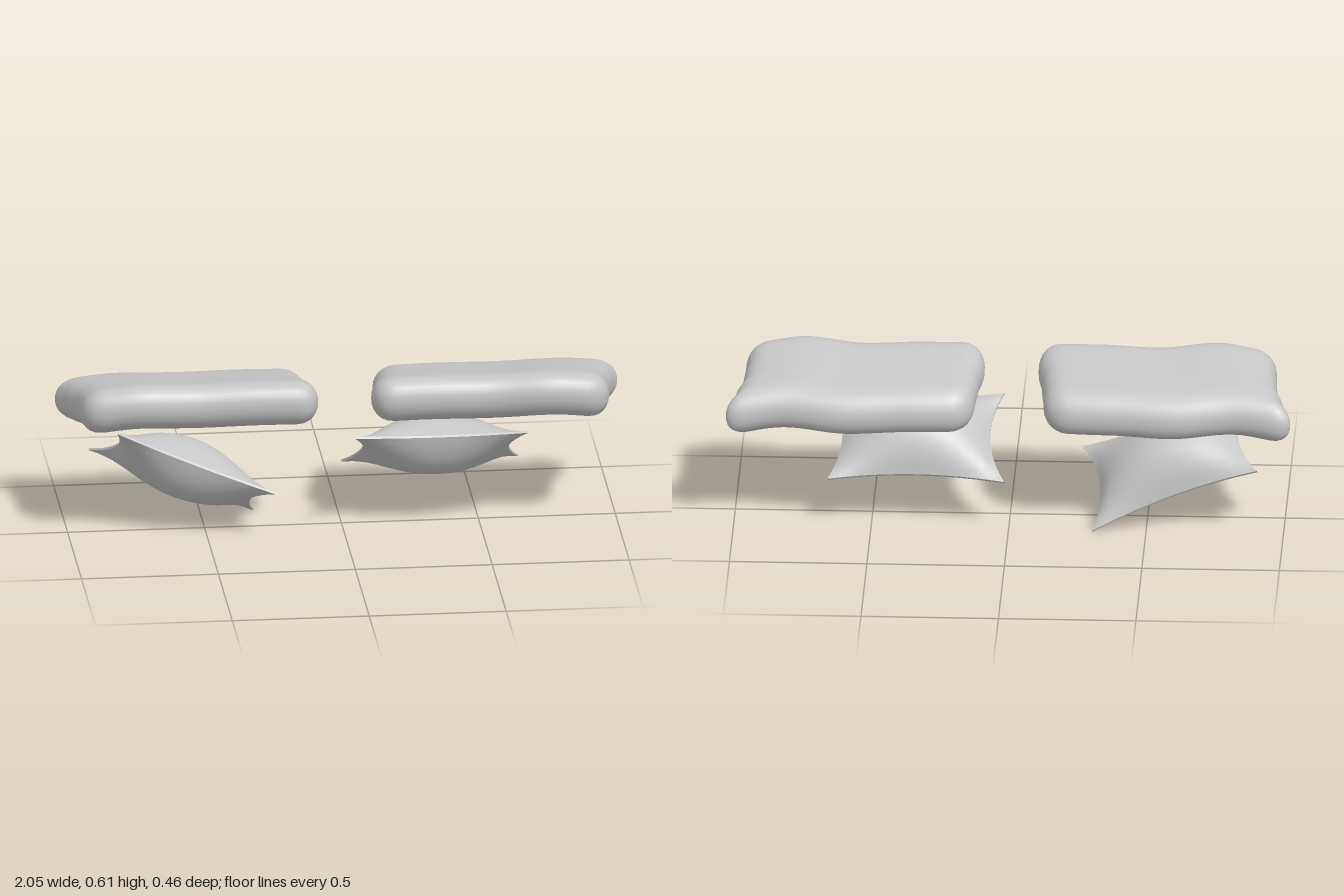
import * as THREE from 'three';
import { mergeVertices } from 'three/addons/utils/BufferGeometryUtils.js';

// Smoothly interpolates evenly spaced samples over t in [-1, 1]
function sample(values, t) {
  const f = THREE.MathUtils.clamp((t + 1) / 2, 0, 1) * (values.length - 1);
  const i = Math.min(Math.floor(f), values.length - 2);
  return THREE.MathUtils.lerp(values[i], values[i + 1], THREE.MathUtils.smoothstep(f - i, 0, 1));
}

// Moves every vertex of a geometry by a rule
function reshape(geometry, rule) {
  const pos = geometry.attributes.position;
  const p = new THREE.Vector3();
  for (let i = 0; i < pos.count; i++) {
    rule(p.fromBufferAttribute(pos, i));
    pos.setXYZ(i, p.x, p.y, p.z);
  }
  return geometry;
}

// Thick seat cushion: a rounded slab with a soft, uneven outline, tilted up at the front
function seatCushionGeometry(side) {
  const half = new THREE.Vector3(0.44, 0.085, 0.21);
  const radius = 0.08;
  const inner = half.clone().subScalar(radius);
  const back = [-0.21, -0.222, -0.234, -0.212, -0.232];
  const front = [0.21, 0.208, 0.2, 0.224, 0.205];
  const inside = [0.135, 0.125, 0.115, 0.098, 0.1];
  const outside = [1.055, 1.0, 0.972, 0.965, 0.965];
  const crown = [0, 0.002, -0.002, 0.007, -0.012];

  let geometry = new THREE.BoxGeometry(half.x * 2, half.y * 2, half.z * 2, 32, 8, 16);
  geometry.deleteAttribute('uv');
  geometry.deleteAttribute('normal');
  geometry = mergeVertices(geometry);
  reshape(geometry, (p) => {
    const core = p.clone().clamp(inner.clone().negate(), inner);
    p.sub(core).setLength(radius).add(core);
    const u = p.x / half.x, w = p.z / half.z;
    p.x = side * THREE.MathUtils.lerp(sample(inside, w), sample(outside, w), (u + 1) / 2);
    p.z = THREE.MathUtils.lerp(sample(back, u), sample(front, u), (w + 1) / 2);
    p.y += 0.495 + 0.185 * p.z + sample(crown, u);
  });
  // Mirroring turns the faces inside out, so swap their corners
  if (side < 0) {
    const index = geometry.index.array;
    for (let i = 0; i < index.length; i += 3) {
      [index[i + 1], index[i + 2]] = [index[i + 2], index[i + 1]];
    }
  }
  geometry.computeVertexNormals();
  return geometry;
}

// Throw pillow: plump centre, thin seam and drawn-out corners, spanned by four corner points
function throwPillowGeometry(frontRight, frontLeft, backRight, backLeft) {
  const [fr, fl, br, bl] = [frontRight, frontLeft, backRight, backLeft].map((c) => new THREE.Vector3(...c));
  const across = fl.clone().sub(fr);
  const forward = fr.clone().sub(br);
  const up = forward.cross(across).normalize();

  const geometry = new THREE.BoxGeometry(2, 2, 2, 20, 1, 16);
  reshape(geometry, (p) => {
    const u = p.x, v = p.z;
    const plump = Math.pow(Math.max(0, 1 - u * u), 0.85) * Math.max(0, 1 - v * v);
    const height = p.y > 0 ? 0.004 + 0.122 * plump : -0.004 - 0.096 * plump;
    const s = (1 + u * (1 - 0.16 * (1 - v * v))) / 2;
    const t = (1 + v * (1 - 0.14 * (1 - u * u))) / 2;
    const backEdge = br.clone().lerp(bl, s);
    p.copy(backEdge.lerp(fr.clone().lerp(fl, s), t)).addScaledVector(up, height);
  });
  geometry.computeVertexNormals();
  return geometry;
}

export function createModel() {
  const model = new THREE.Group();
  model.name = 'cushionSet';
  const fabric = new THREE.MeshStandardMaterial({ color: 0xc6c6c6 });
  fabric.name = 'greyFabric';

  const add = (name, geometry) => {
    const mesh = new THREE.Mesh(geometry, fabric);
    mesh.name = name;
    model.add(mesh);
  };

  // Mirrored pair of seat cushions
  add('leftSeatCushion', seatCushionGeometry(1));
  add('rightSeatCushion', seatCushionGeometry(-1));

  // Pillows lying at an angle below them
  add('leftThrowPillow', throwPillowGeometry(
    [0.03, 0.395, 0.185], [0.665, 0.395, 0.185], [0.015, 0.185, -0.155], [0.66, 0.185, -0.15]));
  add('rightThrowPillow', throwPillowGeometry(
    [-0.835, 0.44, 0.172], [-0.255, 0.19, 0.187], [-0.905, 0.255, -0.178], [-0.305, 0.004, -0.165]));

  return model;
}
